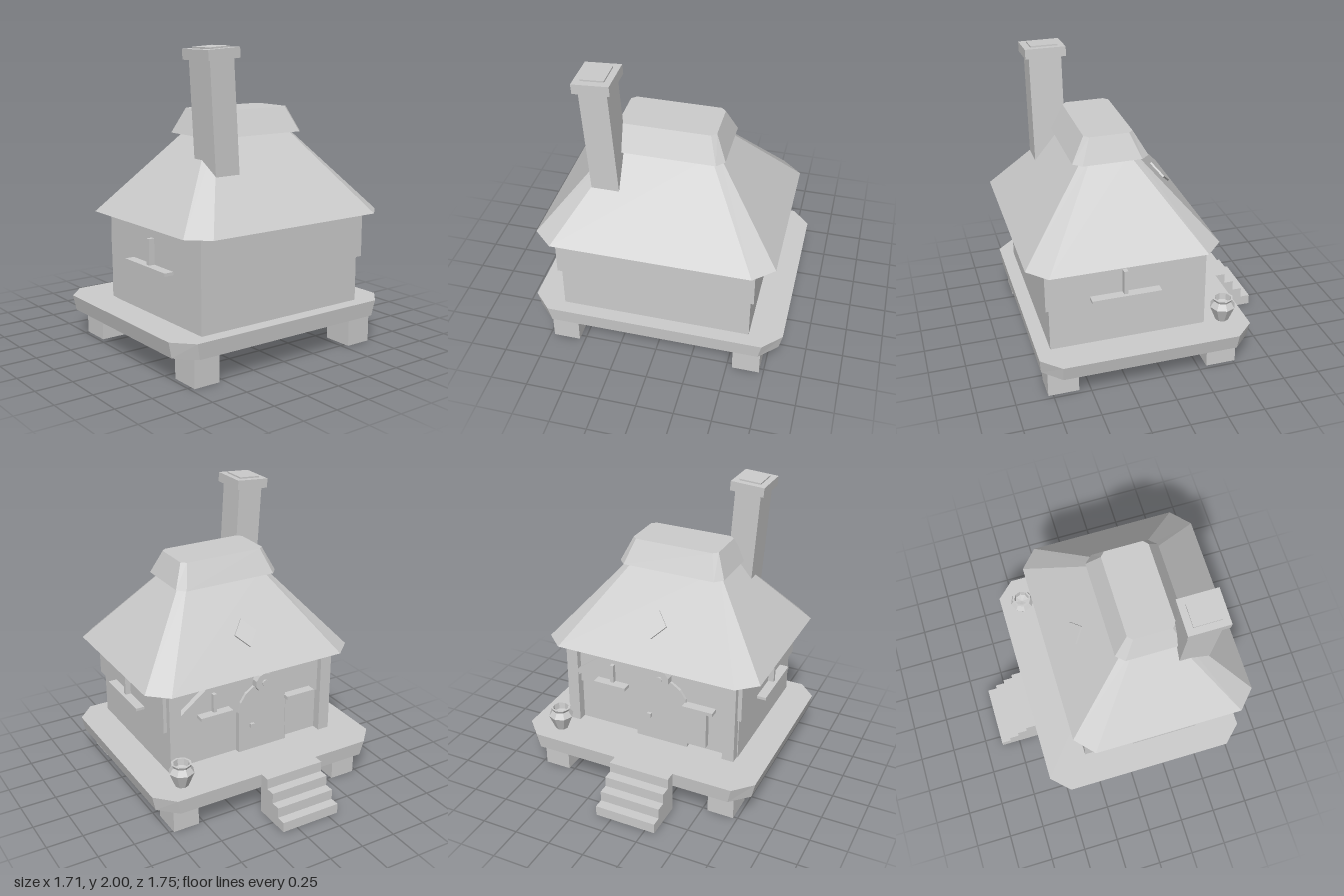
import * as THREE from 'three';

const mat = new THREE.MeshStandardMaterial({ color: 0xcccccc });
mat.name = 'plain grey';
mat.flatShading = true;

function add(parent, name, geo) {
  const mesh = new THREE.Mesh(geo, mat);
  mesh.name = name;
  parent.add(mesh);
  return mesh;
}

// Box given by its limits on each axis
function block(parent, name, x0, x1, y0, y1, z0, z1) {
  const mesh = add(parent, name, new THREE.BoxGeometry(x1 - x0, y1 - y0, z1 - z0));
  mesh.position.set((x0 + x1) / 2, (y0 + y1) / 2, (z0 + z1) / 2);
  return mesh;
}

// Rectangle with cut corners at height y, counterclockwise from above
function section(y, hx, z0, z1, cx, cz) {
  return [
    [hx, z1 - cz], [hx, z0 + cz], [hx - cx, z0], [-hx + cx, z0],
    [-hx, z0 + cz], [-hx, z1 - cz], [-hx + cx, z1], [hx - cx, z1],
  ].map(([x, z]) => [x, y, z]);
}

// Closed solid between two sections
function loft(low, high) {
  const p = [];
  const n = low.length;
  for (let i = 0; i < n; i++) {
    const j = (i + 1) % n;
    p.push(low[i], low[j], high[j], low[i], high[j], high[i]);
  }
  for (let i = 1; i < n - 1; i++) {
    p.push(high[0], high[i], high[i + 1], low[0], low[i + 1], low[i]);
  }
  const geo = new THREE.BufferGeometry();
  geo.setAttribute('position', new THREE.Float32BufferAttribute(p.flat(), 3));
  geo.computeVertexNormals();
  return geo;
}

export function createModel() {
  const model = new THREE.Group();
  model.name = 'hut';

  // Platform on four feet
  add(model, 'platform', loft(
    section(0.19, 0.83, -0.595, 0.82, 0.12, 0.12),
    section(0.295, 0.853, -0.605, 0.83, 0.12, 0.125)));
  for (const x of [-0.63, 0.63]) {
    for (const z of [-0.41, 0.68]) {
      block(model, 'foot', x - 0.092, x + 0.092, 0, 0.2, z - 0.103, z + 0.103);
    }
  }

  // Steps
  for (let i = 0; i < 4; i++) {
    block(model, 'step', -0.32, 0.11, 0.005, 0.295 - i * 0.073, -0.675 - i * 0.068, -0.6 - i * 0.068);
  }

  // Walls, the upper half slightly wider
  block(model, 'lowerWall', -0.638, 0.632, 0.29, 0.605, -0.25, 0.738);
  block(model, 'upperWall', -0.66, 0.656, 0.6, 0.915, -0.27, 0.762);
  for (const x of [-0.59, 0.59]) {
    block(model, 'cornerPost', x - 0.042, x + 0.042, 0.29, 0.92, -0.312, -0.24);
  }

  // Roof and its cap
  add(model, 'roof', loft(
    section(0.91, 0.78, -0.39, 0.875, 0.13, 0.12),
    section(1.45, 0.325, 0.075, 0.41, 0.04, 0.04)));
  add(model, 'roofCap', loft(
    section(1.435, 0.382, -0.01, 0.488, 0.05, 0.055),
    section(1.595, 0.312, 0.08, 0.4, 0.032, 0.03)));

  // Diamond patch lying on the back slope
  const diamond = new THREE.Shape([
    new THREE.Vector2(0.083, 0), new THREE.Vector2(0, 0.1),
    new THREE.Vector2(-0.083, 0), new THREE.Vector2(0, -0.1),
  ]);
  const patch = add(model, 'roofPatch', new THREE.ExtrudeGeometry(diamond, { depth: 0.016, bevelEnabled: false }));
  patch.position.set(0, 1.133, -0.193);
  patch.rotation.order = 'YXZ';
  patch.rotation.set(-Math.atan2(0.465, 0.54), Math.PI, 0);

  // Leaning chimney
  const chimney = new THREE.Group();
  chimney.name = 'chimney';
  block(chimney, 'chimneyShaft', -0.09, 0.09, -0.92, 0, -0.108, 0.108);
  block(chimney, 'chimneyCap', -0.118, 0.118, -0.005, 0.06, -0.135, 0.135);
  block(chimney, 'chimneyTop', -0.075, 0.075, 0.055, 0.07, -0.09, 0.09);
  chimney.position.set(-0.392, 1.93, 0.5);
  chimney.rotation.z = 0.064;
  model.add(chimney);

  // Side windows: a mullion above a sill
  block(model, 'leftSill', 0.65, 0.718, 0.643, 0.662, 0.015, 0.475);
  block(model, 'leftMullion', 0.65, 0.694, 0.66, 0.826, 0.232, 0.26);
  block(model, 'rightSill', -0.725, -0.65, 0.62, 0.64, 0.015, 0.475);
  block(model, 'rightMullion', -0.7, -0.65, 0.64, 0.81, 0.232, 0.26);

  // Back window, counter and hanging board
  block(model, 'backSill', 0.17, 0.41, 0.645, 0.668, -0.335, -0.26);
  block(model, 'backMullion', 0.275, 0.3, 0.66, 0.8, -0.3, -0.26);
  block(model, 'counter', -0.48, -0.26, 0.625, 0.65, -0.335, -0.26);
  block(model, 'hangingBoard', -0.42, -0.27, 0.33, 0.63, -0.295, -0.245);

  // Diagonal brace from the post up to the eave
  const brace = add(model, 'brace', new THREE.BoxGeometry(0.38, 0.04, 0.045));
  brace.position.set(0.46, 0.76, -0.288);
  brace.rotation.z = -0.65;

  // Arched door with a knob and a round ornament
  const arch = new THREE.Shape();
  arch.moveTo(-0.19, 0.29);
  arch.lineTo(0.19, 0.29);
  arch.lineTo(0.19, 0.6);
  arch.absarc(0, 0.6, 0.19, 0, Math.PI);
  const door = add(model, 'door', new THREE.ExtrudeGeometry(arch, {
    depth: 0.045, bevelEnabled: false, curveSegments: 4,
  }));
  door.position.set(-0.09, 0, -0.29);
  block(model, 'doorKnob', -0.015, 0.015, 0.47, 0.5, -0.31, -0.285);
  const discs = [['ornamentDisc', 0.07, 0.06, -0.29], ['ornamentCentre', 0.024, 0.02, -0.322]];
  for (const [name, r, depth, z] of discs) {
    const disc = add(model, name, new THREE.CylinderGeometry(r, r, depth, 10));
    disc.rotation.x = Math.PI / 2;
    disc.position.set(-0.085, 0.8, z);
  }

  // Faceted pot with an open mouth
  const profile = [[0, 0], [0.045, 0], [0.087, 0.105], [0.06, 0.145], [0.07, 0.165], [0.055, 0.165], [0.05, 0.12], [0, 0.11]]
    .map(([r, y]) => new THREE.Vector2(r, y));
  const pot = add(model, 'pot', new THREE.LatheGeometry(profile, 8));
  pot.position.set(0.622, 0.295, -0.445);

  return model;
}
